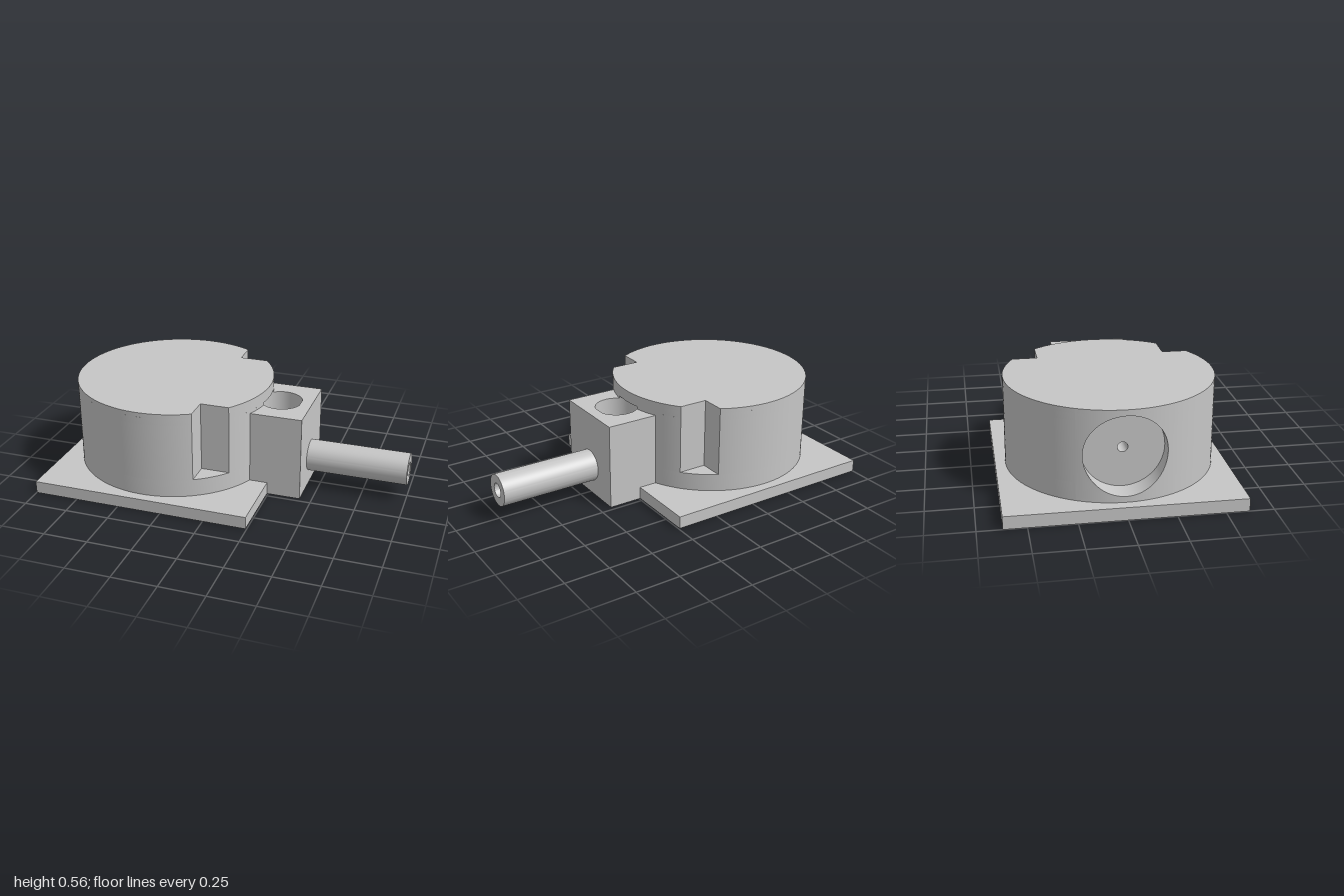
import * as THREE from 'three';
import { toCreasedNormals } from 'three/addons/utils/BufferGeometryUtils.js';

const CX = -0.378, R = 0.565;           // drum centre and radius
const PX = 0.254, PR = 0.12;            // pocket centre and radius
const AXIS_Y = 0.3175, RECESS_R = 0.215, HALF = 0.2475, FLOOR_X = -0.82;
const BORE_Y = 0.17, BORE_R = 0.04;

const grey = new THREE.MeshStandardMaterial({ color: 0xc6c6c6, side: THREE.DoubleSide });
grey.name = 'lightGrey';

// points along an arc
function arc(cx, r, from, to, n) {
  return Array.from({ length: n + 1 }, (_, i) => {
    const a = from + (to - from) * i / n;
    return new THREE.Vector2(cx + r * Math.cos(a), r * Math.sin(a));
  });
}

// extrude a plan outline upward from y0 to y1
function layer(points, y0, y1) {
  const g = new THREE.ExtrudeGeometry(new THREE.Shape(points), { depth: y1 - y0, bevelEnabled: false });
  g.rotateX(-Math.PI / 2).translate(0, y0, 0);
  return toCreasedNormals(g, 0.4);
}

// extrude a z-y outline along x, with the round bore through it
function alongX(shape, x0, x1) {
  const bore = new THREE.Path();
  bore.absarc(0, BORE_Y, BORE_R, 0, Math.PI * 2, true);
  shape.holes.push(bore);
  const g = new THREE.ExtrudeGeometry(shape, { depth: x1 - x0, bevelEnabled: false, curveSegments: 40 });
  g.rotateY(Math.PI / 2).translate(x0, 0, 0);
  return toCreasedNormals(g, 0.4);
}

// half the drum outline mirrored to a full loop
function drumOutline({ bite, notch, recess }) {
  const d = PX - CX;
  const ix = (d * d + R * R - PR * PR) / (2 * d), iz = Math.sqrt(R * R - ix * ix);
  const half = [];
  let a = 0;
  if (bite) {
    half.push(...arc(PX, PR, Math.PI, Math.atan2(iz, ix - d), 12));
    a = Math.atan2(iz, ix);
  }
  if (notch) {
    half.push(...arc(CX, R, a, Math.asin(0.355 / R), 14), new THREE.Vector2(-0.1, 0.355));
    a = Math.acos((-0.1 - CX) / R);
  }
  const end = recess ? Math.PI - Math.asin(HALF / R) : Math.PI;
  half.push(...arc(CX, R, a, end, 50));
  if (recess) half.push(new THREE.Vector2(-0.7, HALF));
  const other = half.filter(p => Math.abs(p.y) > 1e-6).reverse().map(p => new THREE.Vector2(p.x, -p.y));
  return [...half, ...other];
}

// surface between two closed loops, each given as a function of angle
function between(inner, outer, rows, project) {
  const n = 96, pos = [], idx = [];
  for (let j = 0; j <= rows; j++) for (let i = 0; i <= n; i++) {
    const t = i / n * Math.PI * 2;
    const p = inner(t).lerp(outer(t), j / rows);
    if (project) p.x = drumX(p.z);
    pos.push(p.x, p.y, p.z);
  }
  for (let j = 0; j < rows; j++) for (let i = 0; i < n; i++) {
    const a = j * (n + 1) + i, b = a + 1, c = a + n + 1, e = c + 1;
    idx.push(a, c, b, b, c, e);
  }
  const g = new THREE.BufferGeometry();
  g.setAttribute('position', new THREE.Float32BufferAttribute(pos, 3));
  g.setIndex(idx);
  g.computeVertexNormals();
  return g;
}

const drumX = z => CX - Math.sqrt(R * R - z * z);
const ring = (r, x) => t => {
  const z = r * Math.cos(t);
  return new THREE.Vector3(x ?? drumX(z), AXIS_Y + r * Math.sin(t), z);
};
const square = t => {
  const s = HALF / Math.max(Math.abs(Math.cos(t)), Math.abs(Math.sin(t)));
  return ring(s)(t);
};

export function createModel() {
  const model = new THREE.Group();
  model.name = 'housing';
  const add = (name, geometry) => {
    const m = new THREE.Mesh(geometry, grey);
    m.name = name;
    model.add(m);
    return m;
  };

  // square base plate
  add('basePlate', new THREE.BoxGeometry(1.243, 0.07, 1.243)).position.set(-0.3785, 0.035, 0);

  // round drum in layers, with two corner notches and the pocket bite
  add('drumFoot', layer(drumOutline({ bite: true, recess: true }), 0.07, 0.17));
  add('drumMiddle', layer(drumOutline({ bite: true, notch: true, recess: true }), 0.17, 0.5));
  add('drumUpper', layer(drumOutline({ notch: true, recess: true }), 0.5, 0.54));
  add('drumTop', layer(drumOutline({ notch: true }), 0.54, 0.565));

  // round recess in the drum's side, with a small centre hole
  add('recessSurround', between(ring(RECESS_R), square, 4, true));
  add('recessWall', between(ring(RECESS_R, FLOOR_X), ring(RECESS_R), 1));
  add('recessFloor', between(ring(0.027, FLOOR_X), ring(RECESS_R, FLOOR_X), 1));
  add('recessHole', between(ring(0.027, -0.7), ring(0.027, FLOOR_X), 1));

  // connector block with a round pocket from above
  const x0 = 0.1, xm = 0.368, x1 = 0.433, w = 0.225, floor = 0.1, top = 0.485;
  const open = Math.acos((xm - PX) / PR);
  const corners = [[xm, w], [x0, w], [x0, -w], [xm, -w]].map(p => new THREE.Vector2(...p));
  add('blockPocket', layer([...corners, ...arc(PX, PR, Math.PI * 2 - open, open, 48)], floor, top));
  add('blockFloor', new THREE.BoxGeometry(xm - x0, floor, 2 * w)).position.set((x0 + xm) / 2, floor / 2, 0);
  const face = new THREE.Shape([[-w, 0], [w, 0], [w, top], [-w, top]].map(p => new THREE.Vector2(...p)));
  add('blockFace', alongX(face, xm, x1));

  // hollow pipe
  const pipe = new THREE.Shape();
  pipe.absarc(0, BORE_Y, 0.09, 0, Math.PI * 2, false);
  add('pipe', alongX(pipe, x1, 1));

  return model;
}
